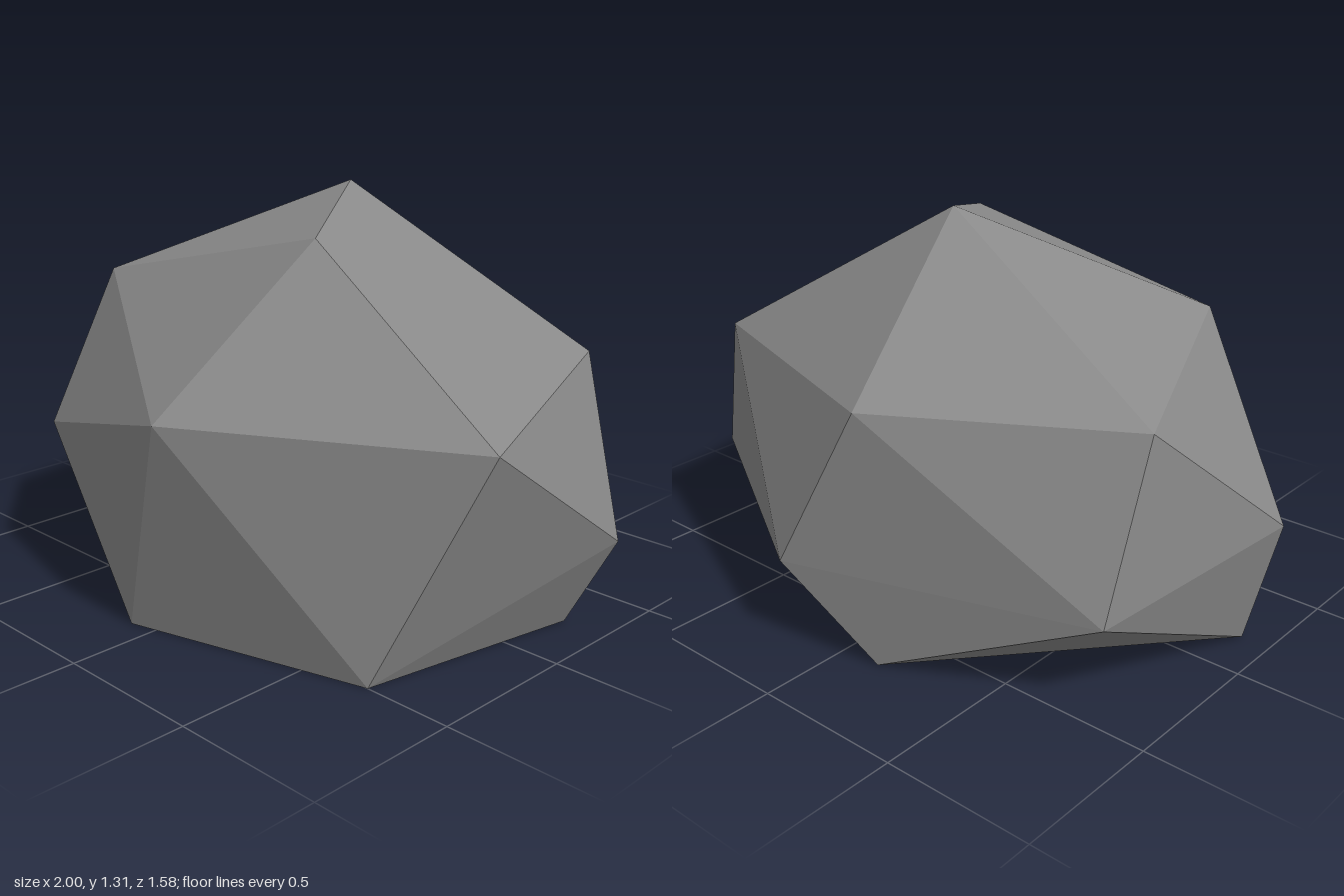
import * as THREE from 'three';
import { ConvexGeometry } from 'three/addons/geometries/ConvexGeometry.js';

// Faceted boulder: rings of corner points wrapped in a convex skin.
export function createModel() {
  const stone = new THREE.MeshStandardMaterial({ color: 0x888888 });
  stone.name = 'stone grey';

  const corners = [
    // flat base
    [0.71, 0, 0.50], [-0.09, 0, 0.72], [-0.90, 0, 0.19], [-0.14, 0, -0.68], [0.85, 0, -0.25],
    // lower belt
    [1.00, 0.30, -0.29], [0.16, 0.30, -0.79], [-0.83, 0.30, -0.47], [-1.00, 0.42, 0.21], [-0.61, 0.52, 0.62],
    // upper belt
    [0.13, 0.71, 0.785], [0.99, 0.71, 0.30], [0.78, 0.83, -0.41], [-0.09, 0.83, -0.70], [-0.84, 0.84, -0.28],
    // crown
    [-0.61, 1.00, 0.35], [0.27, 1.20, 0.27], [0.02, 1.31, -0.14],
  ].map((p) => new THREE.Vector3(...p));

  const boulder = new THREE.Mesh(new ConvexGeometry(corners), stone);
  boulder.name = 'boulder';

  const group = new THREE.Group();
  group.name = 'rock';
  group.add(boulder);
  return group;
}
